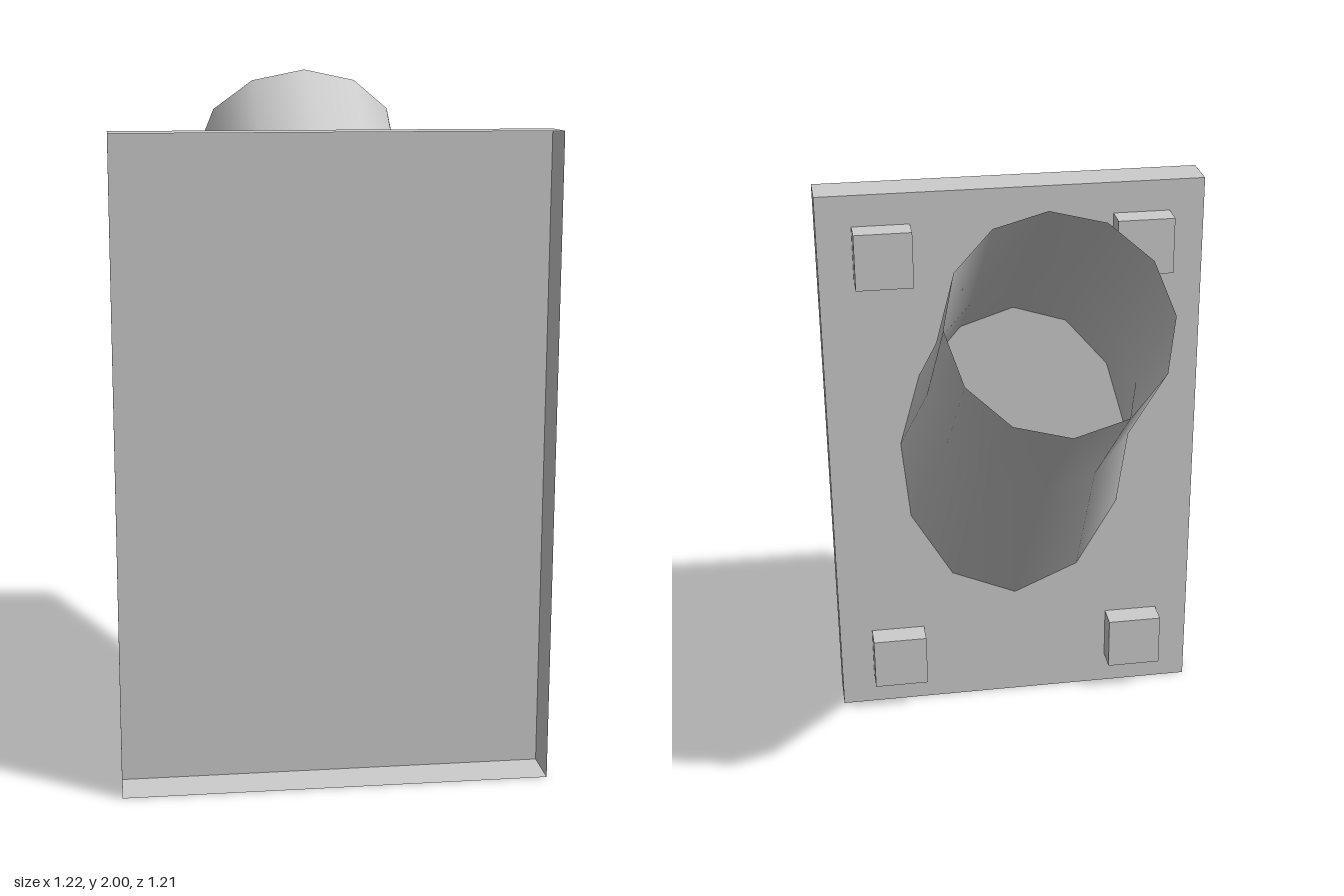
import * as THREE from 'three';

const SIDES = 12;
const PLATE_Z = 0.475, FRONT_Z = 0.605;

// Ring of the tilted tube: centre, half-height vector and side radius
function tiltedRing(cy, cz, hy, hz, r) {
  return Array.from({ length: SIDES }, (_, i) => {
    const a = (i / SIDES) * Math.PI * 2;
    return [r * Math.sin(a), cy + hy * Math.cos(a), cz + hz * Math.cos(a)];
  });
}

// Where the tube meets the plate: half outline, mirrored in x
function footRing() {
  const half = [[0, 1.455], [0.17, 1.4], [0.307, 1.24], [0.375, 1.0], [0.35, 0.73], [0.215, 0.495], [0, 0.4]];
  const mirrored = half.slice(1, -1).reverse().map(([x, y]) => [-x, y]);
  return [...half, ...mirrored].map(([x, y]) => [x, y, PLATE_Z]);
}

// Smooth open tube through the rings
function loft(rings) {
  const index = [];
  for (let r = 0; r < rings.length - 1; r++) {
    for (let i = 0; i < SIDES; i++) {
      const j = (i + 1) % SIDES;
      const a = r * SIDES + i, b = r * SIDES + j;
      const c = a + SIDES, d = b + SIDES;
      index.push(a, b, c, b, d, c);
    }
  }
  const g = new THREE.BufferGeometry();
  g.setAttribute('position', new THREE.Float32BufferAttribute(rings.flat(2), 3));
  g.setIndex(index);
  g.computeVertexNormals();
  return g;
}

export function createModel() {
  const model = new THREE.Group();
  const grey = new THREE.MeshStandardMaterial({ color: 0xcccccc, side: THREE.DoubleSide });
  grey.name = 'grey';

  const add = (name, geometry, x = 0, y = 0, z = 0) => {
    const mesh = new THREE.Mesh(geometry, grey);
    mesh.name = name;
    mesh.position.set(x, y, z);
    model.add(mesh);
    return mesh;
  };

  // Mounting plate: a shallow tray with thin walls, open at the front
  const w = 1.22, h = 1.85, depth = FRONT_Z - PLATE_Z;
  const midZ = (PLATE_Z + FRONT_Z) / 2;
  add('platePanel', new THREE.PlaneGeometry(w, h).rotateY(Math.PI), 0, h / 2, PLATE_Z);
  for (const s of [-1, 1]) {
    add(s > 0 ? 'plateLeftWall' : 'plateRightWall',
      new THREE.PlaneGeometry(depth, h).rotateY(s * Math.PI / 2), s * w / 2, h / 2, midZ);
    add(s > 0 ? 'plateTopWall' : 'plateBottomWall',
      new THREE.PlaneGeometry(w, depth).rotateX(-s * Math.PI / 2), 0, s > 0 ? h : 0, midZ);
  }

  // Square bolts at the four corners of the back
  const bolt = new THREE.BoxGeometry(0.18, 0.18, 0.08);
  for (const x of [-0.41, 0.41]) {
    for (const y of [0.2, 1.66]) add('bolt', bolt, x, y, PLATE_Z - 0.04);
  }

  // Open tube rising backwards, flared towards the plate
  add('tube', loft([
    footRing(),
    tiltedRing(1.345, 0.09, 0.245, 0.21, 0.32),
    tiltedRing(1.755, -0.4, 0.245, 0.2, 0.316),
  ]));

  return model;
}
